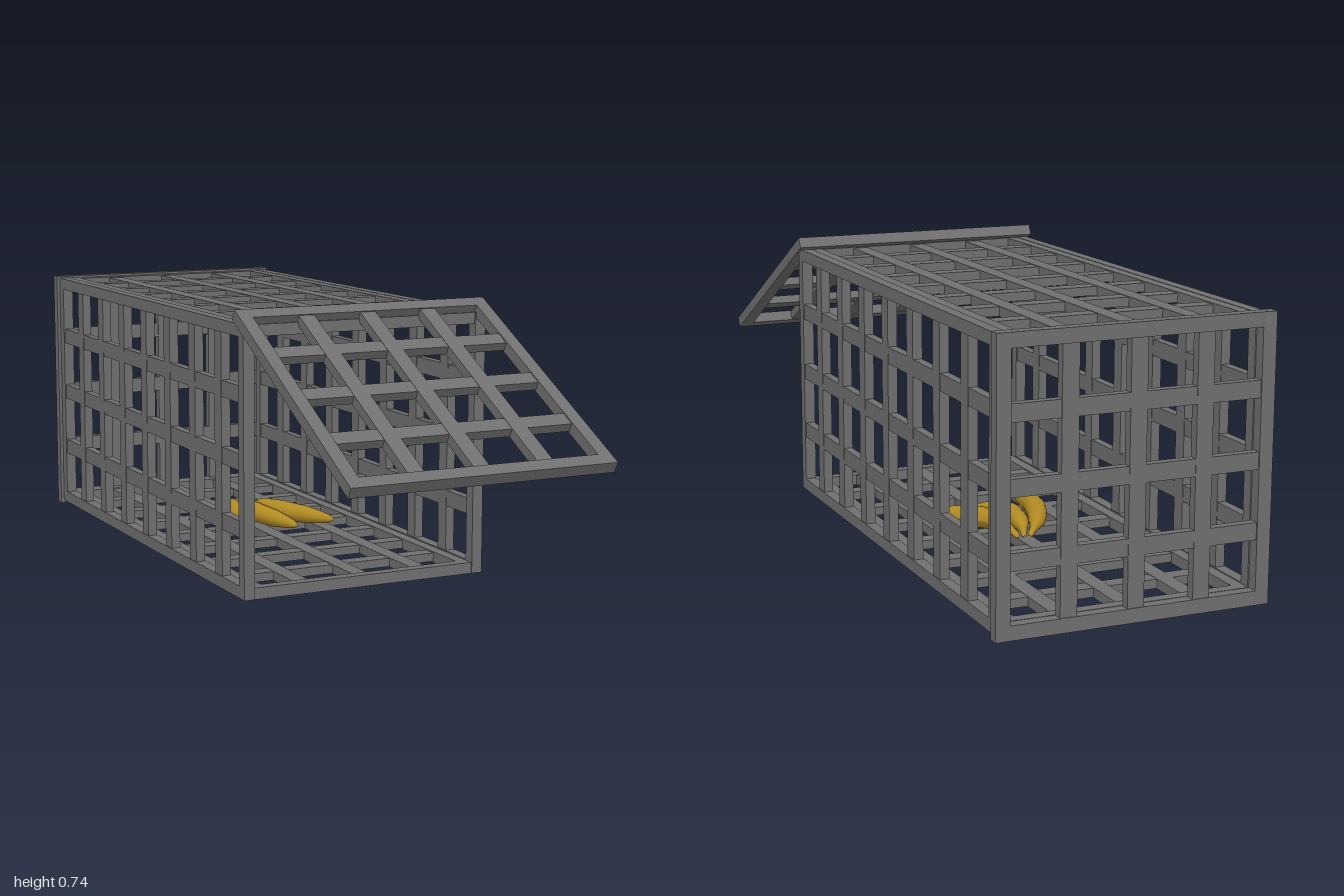
import * as THREE from 'three';

const steel = new THREE.MeshStandardMaterial({ color: 0x707070 });
steel.name = 'steel grey';
const yellow = new THREE.MeshStandardMaterial({ color: 0xb08a22 });
yellow.name = 'banana yellow';

const STEP = 0.172; // spacing of the bars
const BAR = 0.043; // width of the bars

function box(parent, name, w, h, d, x, y, z = 0) {
  const mesh = new THREE.Mesh(new THREE.BoxGeometry(w, h, d), steel);
  mesh.name = name;
  mesh.position.set(x, y, z);
  parent.add(mesh);
}

// Flat lattice in the xy plane: outer frame plus upright and cross bars
function lattice(name, w, h, nx, ny, edge, offset = 0) {
  const g = new THREE.Group();
  g.name = name;
  const t = 0.03;
  for (const s of [-1, 1]) {
    box(g, 'frameUpright', edge, h, t, s * (w - edge) / 2, 0);
    box(g, 'frameRail', w - 2 * edge, edge, t, 0, s * (h - edge) / 2);
  }
  for (let i = 0; i < nx; i++)
    box(g, 'uprightBar', BAR, h - edge, t - 0.005, (i - (nx - 1) / 2) * STEP + offset, 0);
  for (let j = 0; j < ny; j++)
    box(g, 'crossBar', w - edge, BAR, t - 0.007, 0, (j - (ny - 1) / 2) * STEP);
  return g;
}

// Curved fruit: rings swept along a curve, with a thin stem and a blunt tip
function banana(name, points) {
  const curve = new THREE.CatmullRomCurve3(points.map(p => new THREE.Vector3(...p)));
  const rings = 28, sides = 12;
  const geo = new THREE.TubeGeometry(curve, rings, 1, sides, false);
  const profile = [[0, 0.003], [0.03, 0.008], [0.12, 0.01], [0.25, 0.023], [0.5, 0.029],
    [0.75, 0.025], [0.9, 0.016], [0.97, 0.009], [1, 0.001]];
  const radius = t => {
    let k = 0;
    while (k < profile.length - 2 && t > profile[k + 1][0]) k++;
    const [a, ra] = profile[k], [b, rb] = profile[k + 1];
    return THREE.MathUtils.lerp(ra, rb, (t - a) / (b - a));
  };
  const pos = geo.attributes.position, v = new THREE.Vector3();
  for (let i = 0; i < pos.count; i++) {
    const t = Math.floor(i / (sides + 1)) / rings;
    const c = curve.getPointAt(t);
    v.fromBufferAttribute(pos, i).sub(c).multiplyScalar(radius(t)).add(c);
    pos.setXYZ(i, v.x, v.y, v.z);
  }
  geo.computeVertexNormals();
  const mesh = new THREE.Mesh(geo, yellow);
  mesh.name = name;
  return mesh;
}

export function createModel() {
  const model = new THREE.Group();
  model.name = 'cageTrap';

  // Side walls
  for (const s of [-1, 1]) {
    const wall = lattice(s > 0 ? 'leftWall' : 'rightWall', 1.375, 0.697, 7, 3, 0.032, s * 0.007);
    wall.rotation.y = -s * Math.PI / 2;
    wall.position.set(s * 0.331, 0.3565, -0.2825);
    model.add(wall);
  }

  // Floor and roof
  for (const [name, y] of [['floor', 0.022], ['roof', 0.689]]) {
    const panel = lattice(name, 0.632, 1.373, 3, 7, 0.03);
    panel.rotation.x = -Math.PI / 2;
    panel.position.set(0, y, -0.2855);
    model.add(panel);
  }

  // Back wall
  const back = lattice('backWall', 0.71, 0.71, 3, 3, 0.036);
  back.position.set(0, 0.355, -0.985);
  model.add(back);

  // Raised door, hinged above the open front
  const door = lattice('door', 0.71, 0.71, 3, 3, 0.036);
  door.rotation.x = -THREE.MathUtils.degToRad(62);
  door.position.set(0, 0.56, 0.68);
  model.add(door);

  // Bunch of bananas lying on the floor
  const bunch = new THREE.Group();
  bunch.name = 'bananaBunch';
  bunch.add(
    banana('rightBanana', [[0.01, 0.053, -0.435], [-0.04, 0.075, -0.37], [-0.075, 0.085, -0.27], [-0.085, 0.075, -0.14]]),
    banana('middleBanana', [[0.025, 0.053, -0.435], [0.005, 0.068, -0.37], [0.0, 0.072, -0.27], [0.068, 0.051, -0.14]]),
    banana('leftBanana', [[0.04, 0.053, -0.435], [0.05, 0.068, -0.37], [0.083, 0.07, -0.27], [0.188, 0.056, -0.15]]),
  );
  model.add(bunch);
  return model;
}
